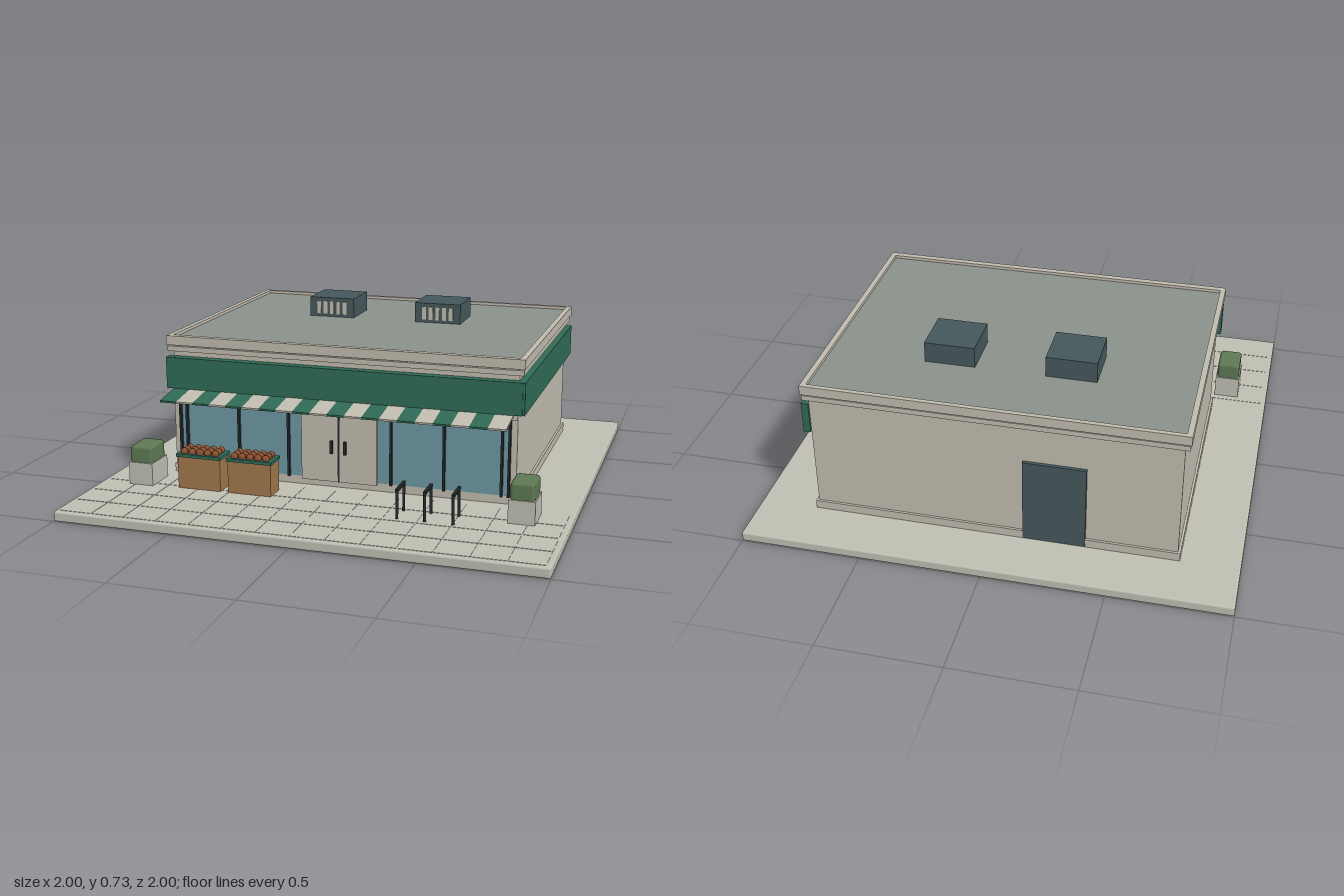
import * as THREE from 'three';
import { RoundedBoxGeometry } from 'three/addons/geometries/RoundedBoxGeometry.js';

export function createModel() {
  const root = new THREE.Group();
  root.name = 'cornerShop';
  const mat = (name, color) => {
    const m = new THREE.MeshStandardMaterial({ color });
    m.name = name;
    return m;
  };
  const paving = mat('paving', 0xbfbeb1);
  const plaster = mat('plaster', 0xc0bbae);
  const green = mat('shopGreen', 0x2f6a56);
  const glass = mat('glass', 0x6c97a1);
  const roofing = mat('roofing', 0x8a918a);
  const metal = mat('ductMetal', 0x45575b);
  const wood = mat('crateWood', 0xa0764b);
  const fruitRed = mat('fruit', 0x8a4f30);
  const leaf = mat('leaf', 0x5d7852);
  const dark = mat('darkMetal', 0x23292b);

  const add = (parent, name, geometry, material, x = 0, y = 0, z = 0) => {
    const m = new THREE.Mesh(geometry, material);
    m.name = name;
    m.position.set(x, y, z);
    parent.add(m);
    return m;
  };
  // Box given by its low and high limits on each axis
  const box = (parent, name, material, x0, x1, y0, y1, z0, z1) =>
    add(parent, name, new THREE.BoxGeometry(x1 - x0, y1 - y0, z1 - z0), material,
      (x0 + x1) / 2, (y0 + y1) / 2, (z0 + z1) / 2);
  const group = (name) => {
    const g = new THREE.Group();
    g.name = name;
    root.add(g);
    return g;
  };

  // Pavement slab with tiles in front of the shop
  add(root, 'pavementSlab', new RoundedBoxGeometry(2, 0.042, 2, 2, 0.008), paving, 0, 0.021, 0);
  const tiles = group('pavementTiles');
  for (let i = 0; i < 14; i++) for (let j = 0; j < 4; j++) {
    const x = -0.98 + i * 0.14, z = 0.42 + j * 0.14;
    box(tiles, 'tile', paving, x + 0.002, x + 0.138, 0.04, 0.0435, z + 0.002, z + 0.138);
  }

  // Walls, plinth and cornice
  const shell = group('building');
  box(shell, 'walls', plaster, -0.75, 0.75, 0.04, 0.62, -0.765, 0.365);
  box(shell, 'plinth', plaster, -0.76, 0.76, 0.042, 0.078, -0.775, 0.372);
  box(shell, 'corniceLip', plaster, -0.77, 0.77, 0.583, 0.605, -0.785, 0.385);
  // Parapet ring around the roof
  box(shell, 'parapetFront', plaster, -0.775, 0.775, 0.61, 0.65, 0.36, 0.388);
  box(shell, 'parapetBack', plaster, -0.775, 0.775, 0.61, 0.65, -0.788, -0.768);
  for (const s of [-1, 1])
    box(shell, 'parapetSide', plaster, s * 0.7635 - 0.0115, s * 0.7635 + 0.0115, 0.61, 0.65, -0.768, 0.36);
  box(shell, 'roof', roofing, -0.752, 0.752, 0.61, 0.637, -0.768, 0.36);

  // Fascia along the front and the left side
  box(shell, 'fasciaFront', green, -0.77, 0.77, 0.425, 0.56, 0.365, 0.405);
  box(shell, 'fasciaSide', green, 0.75, 0.78, 0.425, 0.56, -0.775, 0.4);

  // Shop front
  const front = group('shopFront');
  box(front, 'windowGlass', glass, -0.72, 0.72, 0.078, 0.4, 0.366, 0.376);
  box(front, 'windowHeader', plaster, -0.75, 0.75, 0.4, 0.425, 0.365, 0.385);
  for (const x of [-0.72, -0.69, -0.45, -0.225, 0.225, 0.45, 0.69, 0.72])
    box(front, 'mullion', dark, x - 0.005, x + 0.005, 0.075, 0.4, 0.37, 0.39);
  box(front, 'doorMullion', dark, -0.004, 0.004, 0.07, 0.4, 0.37, 0.392);
  for (const s of [-1, 1]) {
    box(front, 'doorLeaf', plaster, s * 0.0845 - 0.0805, s * 0.0845 + 0.0805, 0.07, 0.375, 0.37, 0.39);
    box(front, 'doorHandle', dark, s * 0.03 - 0.005, s * 0.03 + 0.005, 0.195, 0.25, 0.39, 0.405);
    box(front, 'cornerPier', plaster, s * 0.7375 - 0.0125, s * 0.7375 + 0.0125, 0.078, 0.4, 0.365, 0.376);
  }

  // Back door
  box(root, 'backDoor', metal, -0.378, -0.122, 0.046, 0.42, -0.779, -0.765);

  // Sloping striped awning
  const awning = group('awning');
  awning.position.set(0, 0.411, 0.47);
  awning.rotation.x = 0.15;
  const stripe = 1.474 / 20;
  for (let i = 0; i < 20; i++) {
    const x = -0.739 + i * stripe;
    box(awning, 'awningStripe', i % 2 ? plaster : green, x, x + stripe, -0.004, 0.004, -0.075, 0.07);
  }

  // Roof ventilation units
  for (const cx of [-0.253, 0.248]) {
    const unit = group('roofUnit');
    unit.position.x = cx;
    box(unit, 'unitBody', metal, -0.105, 0.105, 0.63, 0.725, -0.48, -0.277);
    for (let i = 0; i < 5; i++) {
      const x = (i - 2) * 0.031;
      box(unit, 'louver', plaster, x - 0.009, x + 0.009, 0.65, 0.708, -0.278, -0.273);
    }
  }

  // Fruit crates
  const fruitShape = new THREE.SphereGeometry(0.016, 10, 8);
  for (const cx of [-0.552, -0.327]) {
    const crate = group('fruitCrate');
    crate.position.x = cx;
    box(crate, 'crateBody', wood, -0.095, 0.095, 0.042, 0.183, 0.485, 0.58);
    box(crate, 'crateTop', green, -0.1, 0.1, 0.18, 0.193, 0.48, 0.586);
    for (let i = 0; i < 5; i++) for (let j = 0; j < 3; j++)
      add(crate, 'fruit', fruitShape, fruitRed, (i - 2) * 0.035, 0.2, 0.503 + j * 0.031);
  }

  // Planters with clipped hedges
  for (const s of [-1, 1]) {
    const planter = group('planter');
    planter.position.set(s * 0.814, 0, 0.523);
    box(planter, 'planterBox', paving, -0.054, 0.054, 0.042, 0.14, -0.072, 0.072);
    add(planter, 'hedge', new RoundedBoxGeometry(0.098, 0.085, 0.134, 2, 0.014), leaf, 0, 0.168, 0);
  }

  // Bicycle stands
  for (const x of [0.335, 0.447, 0.561]) {
    const rack = group('bikeRack');
    rack.position.x = x;
    for (const z of [0.574, 0.674])
      add(rack, 'rackPost', new THREE.CylinderGeometry(0.006, 0.006, 0.122, 8), dark, 0, 0.102, z);
    box(rack, 'rackBar', dark, -0.006, 0.006, 0.155, 0.167, 0.568, 0.68);
  }
  return root;
}
